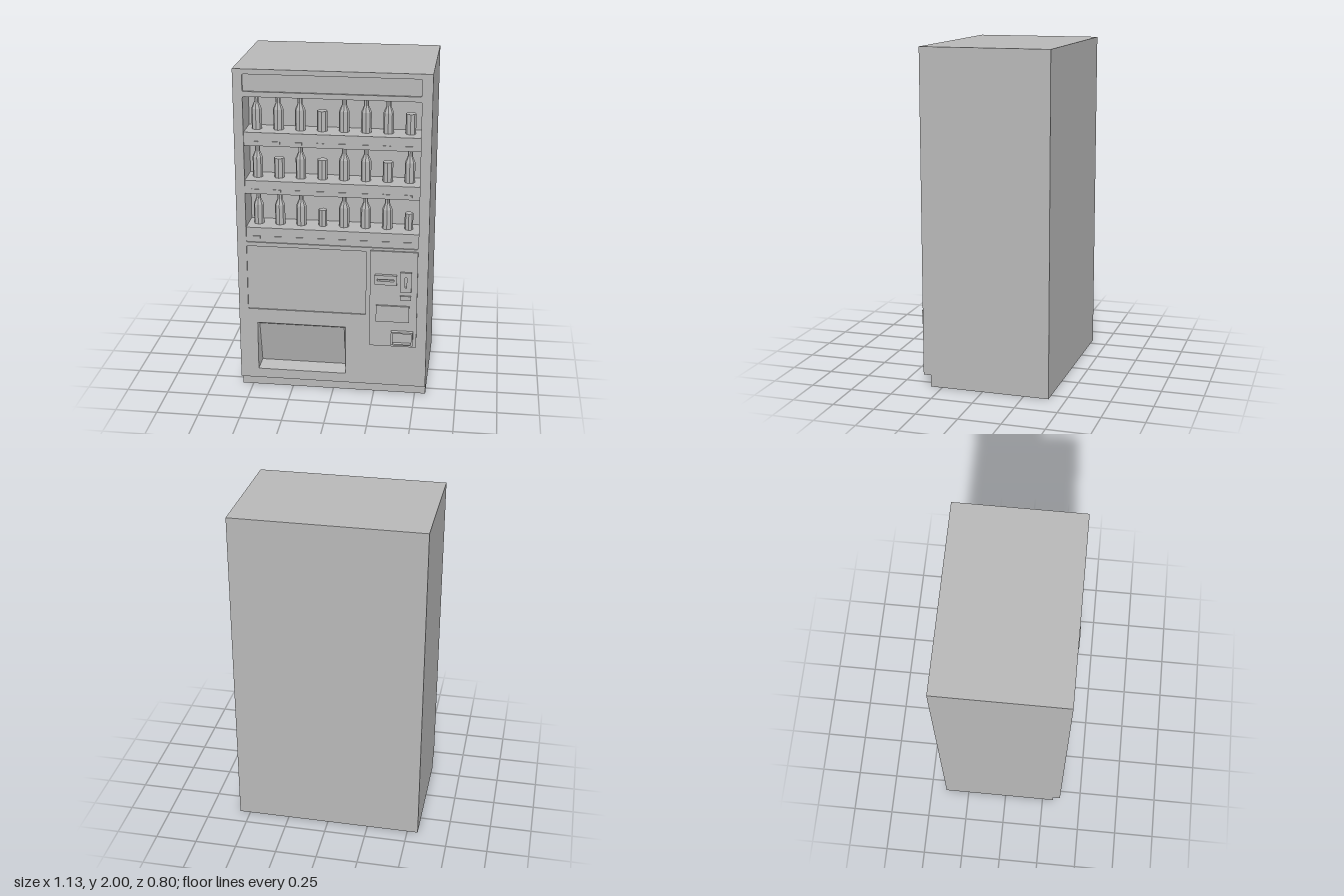
import * as THREE from 'three';

const FRONT = 0.365, BACK = -0.4, HALF = 0.565, INNER = 0.19;

// Adds a rectangle with slightly rounded corners to a shape or hole path
function rect(path, x0, x1, y0, y1, r = 0) {
  path.moveTo(x0 + r, y0);
  path.lineTo(x1 - r, y0);
  if (r) path.quadraticCurveTo(x1, y0, x1, y0 + r);
  path.lineTo(x1, y1 - r);
  if (r) path.quadraticCurveTo(x1, y1, x1 - r, y1);
  path.lineTo(x0 + r, y1);
  if (r) path.quadraticCurveTo(x0, y1, x0, y1 - r);
  path.lineTo(x0, y0 + r);
  if (r) path.quadraticCurveTo(x0, y0, x0 + r, y0);
  return path;
}

export function createModel() {
  const model = new THREE.Group();
  model.name = 'vendingMachine';
  const grey = new THREE.MeshStandardMaterial({ color: 0xb8b8b8 });
  grey.name = 'plain grey';

  function add(name, geometry, parent = model) {
    const mesh = new THREE.Mesh(geometry, grey);
    mesh.name = name;
    parent.add(mesh);
    return mesh;
  }
  // Box given by its limits
  function block(name, x0, x1, y0, y1, z0, z1, parent) {
    const g = new THREE.BoxGeometry(x1 - x0, y1 - y0, z1 - z0);
    g.translate((x0 + x1) / 2, (y0 + y1) / 2, (z0 + z1) / 2);
    return add(name, g, parent);
  }
  // Plate with rectangular openings; each rectangle is [x0, x1, y0, y1, radius]
  function plate(name, outline, holes, z0, z1) {
    const shape = rect(new THREE.Shape(), ...outline);
    holes.forEach(h => shape.holes.push(rect(new THREE.Path(), ...h)));
    const g = new THREE.ExtrudeGeometry(shape, { depth: z1 - z0, bevelEnabled: false, curveSegments: 3 });
    return add(name, g.translate(0, 0, z0));
  }

  // Cabinet: rear body, plinth and a thick front with openings
  block('cabinetBody', -HALF, HALF, 0.07, 2, BACK, INNER);
  block('plinth', -HALF, HALF, 0, 0.07, BACK, 0.32);
  const sign = [-0.51, 0.505, 1.87, 1.97, 0.01];
  const display = [-0.51, 0.505, 0.96, 1.84, 0.01];
  const poster = [-0.51, 0.2, 0.53, 0.935, 0.005];
  const tray = [-0.455, 0.08, 0.13, 0.44];
  plate('cabinetFront', [-HALF, HALF, 0.07, 2], [sign, display, poster, tray], INNER, FRONT);
  plate('signPanel', sign, [], INNER, FRONT - 0.013);
  plate('posterPanel', poster, [], INNER, FRONT - 0.008);

  // Shelves with a row of selection buttons, bottles and cans
  const bottleProfile = [[0, 0], [0.03, 0], [0.03, 0.12], [0.014, 0.157], [0.014, 0.195], [0, 0.195]]
    .map(p => new THREE.Vector2(...p));
  const bottle = new THREE.LatheGeometry(bottleProfile, 8).toNonIndexed();
  bottle.computeVertexNormals();
  function can(r, h) {
    const g = new THREE.CylinderGeometry(r, r, h, 8).toNonIndexed();
    g.translate(0, h / 2, 0).computeVertexNormals();
    return g;
  }
  const largeCan = can(0.03, 0.118), smallCan = can(0.025, 0.1);
  const rows = [
    { top: 1.63, bottom: 1.55, cans: [3, 7], can: largeCan },
    { top: 1.34, bottom: 1.26, cans: [1, 3, 6], can: largeCan },
    { top: 1.05, bottom: 0.96, cans: [3, 7], can: smallCan },
  ];
  for (const row of rows) {
    const shelf = new THREE.Group();
    shelf.name = 'shelf';
    model.add(shelf);
    const face = FRONT - 0.008;
    block('shelfBoard', -0.51, 0.505, row.bottom, row.top, INNER, face, shelf);
    for (let i = 0; i < 8; i++) {
      const x = -0.449 + i * 0.127;
      const isCan = row.cans.includes(i);
      add(isCan ? 'can' : 'bottle', isCan ? row.can : bottle, shelf).position.set(x, row.top, 0.267);
      block('selectionButton', x - 0.022, x + 0.022, row.top - 0.065, row.top - 0.05, face, face + 0.007, shelf);
    }
  }

  // Collection tray: tapered recess with a flap leaning inwards at the bottom
  const o = [[-0.455, 0.13, FRONT], [0.08, 0.13, FRONT], [0.08, 0.44, FRONT], [-0.455, 0.44, FRONT]];
  const n = [[-0.445, 0.155, 0.285], [0.07, 0.155, 0.285], [0.07, 0.43, 0.35], [-0.445, 0.43, 0.35]];
  const pts = [];
  const quad = (a, b, c, d) => pts.push(...a, ...b, ...c, ...a, ...c, ...d);
  for (let k = 0; k < 4; k++) quad(o[k], o[(k + 1) % 4], n[(k + 1) % 4], n[k]);
  quad(...n);
  const trayGeometry = new THREE.BufferGeometry();
  trayGeometry.setAttribute('position', new THREE.Float32BufferAttribute(pts, 3));
  trayGeometry.computeVertexNormals();
  add('collectionTray', trayGeometry);

  // Payment panel with its slots, display and coin return
  const P = 0.375;
  block('paymentPanel', 0.225, 0.505, 0.335, 0.945, FRONT, P);
  plate('noteSlot', [0.255, 0.385, 0.74, 0.8], [[0.27, 0.37, 0.764, 0.776]], P, 0.396);
  plate('coinSlot', [0.405, 0.47, 0.695, 0.82], [[0.432, 0.443, 0.725, 0.79]], P, 0.39);
  block('returnButton', 0.405, 0.47, 0.643, 0.67, P, 0.387);
  block('priceDisplay', 0.263, 0.46, 0.5, 0.603, P, 0.387);
  plate('coinReturn', [0.355, 0.485, 0.355, 0.44], [[0.365, 0.475, 0.362, 0.431]], P, 0.4);

  return model;
}
